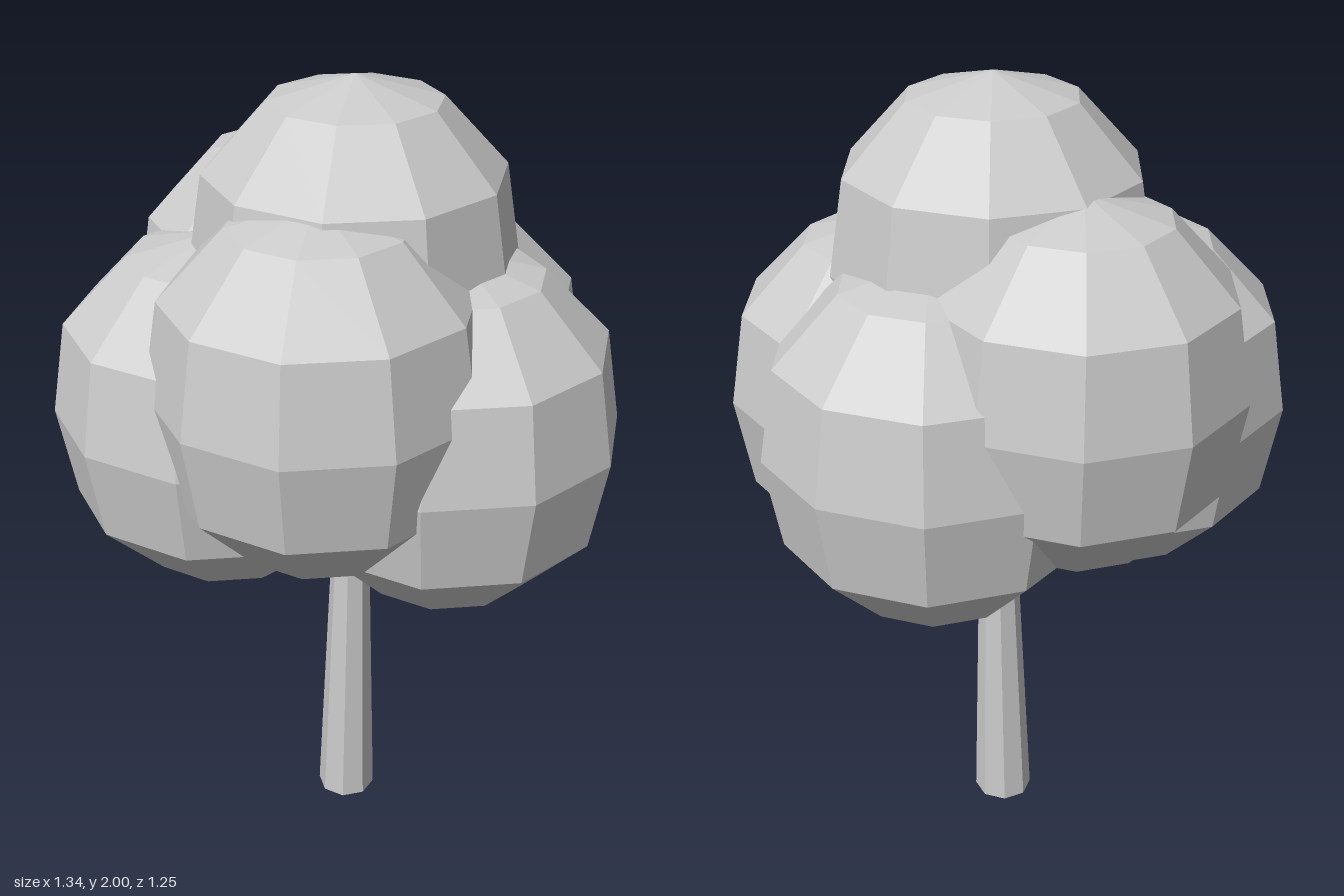
import * as THREE from 'three';

const material = new THREE.MeshStandardMaterial({
  color: 0xcccccc, flatShading: true, side: THREE.DoubleSide,
});

// Faceted leaf ball: ten sides, five rings between two poles, slightly full shoulders
const HALF = [[0.52, 0.875], [0.905, 0.51]];
const PROFILE = [
  [0, -1], ...HALF.map(([r, y]) => [r, -y]), [1, 0], ...HALF.slice().reverse(), [0, 1],
].map(([r, y]) => new THREE.Vector2(r, y));

function leafBall(name, [x, y, z], radius, height) {
  const geometry = new THREE.LatheGeometry(PROFILE, 10);
  geometry.rotateY(Math.PI / 2); // put a corner on the x axis
  geometry.scale(radius, height, radius);
  const mesh = new THREE.Mesh(geometry, material);
  mesh.name = name;
  mesh.position.set(x, y, z);
  return mesh;
}

// Tapered eight-sided trunk, leaning a little toward its top
function trunk() {
  const height = 1.2;
  const geometry = new THREE.CylinderGeometry(0.034, 0.075, height, 8);
  geometry.rotateY(Math.PI / 8);
  geometry.translate(0, height / 2, 0);
  const p = geometry.attributes.position;
  for (let i = 0; i < p.count; i++) {
    p.setX(i, p.getX(i) - 0.018 + 0.019 * p.getY(i));
  }
  const mesh = new THREE.Mesh(geometry, material);
  mesh.name = 'trunk';
  return mesh;
}

export function createModel() {
  const tree = new THREE.Group();
  tree.name = 'tree';

  const crown = new THREE.Group();
  crown.name = 'crown';
  const balls = [
    ['topLeaves', [0.01, 1.56, 0], 0.385, 0.44],
    ['frontLeaves', [0.06, 1.36, 0.25], 0.392, 0.44],
    ['backRightLeaves', [-0.25, 1.36, -0.155], 0.39, 0.44],
    ['leftLeaves', [0.262, 1.2, 0], 0.407, 0.44],
    ['frontRightLeaves', [-0.262, 1.2, 0.16], 0.407, 0.44],
    ['backLeaves', [0.068, 1.2, -0.245], 0.405, 0.44],
  ];
  for (const ball of balls) crown.add(leafBall(...ball));

  tree.add(trunk(), crown);
  return tree;
}
